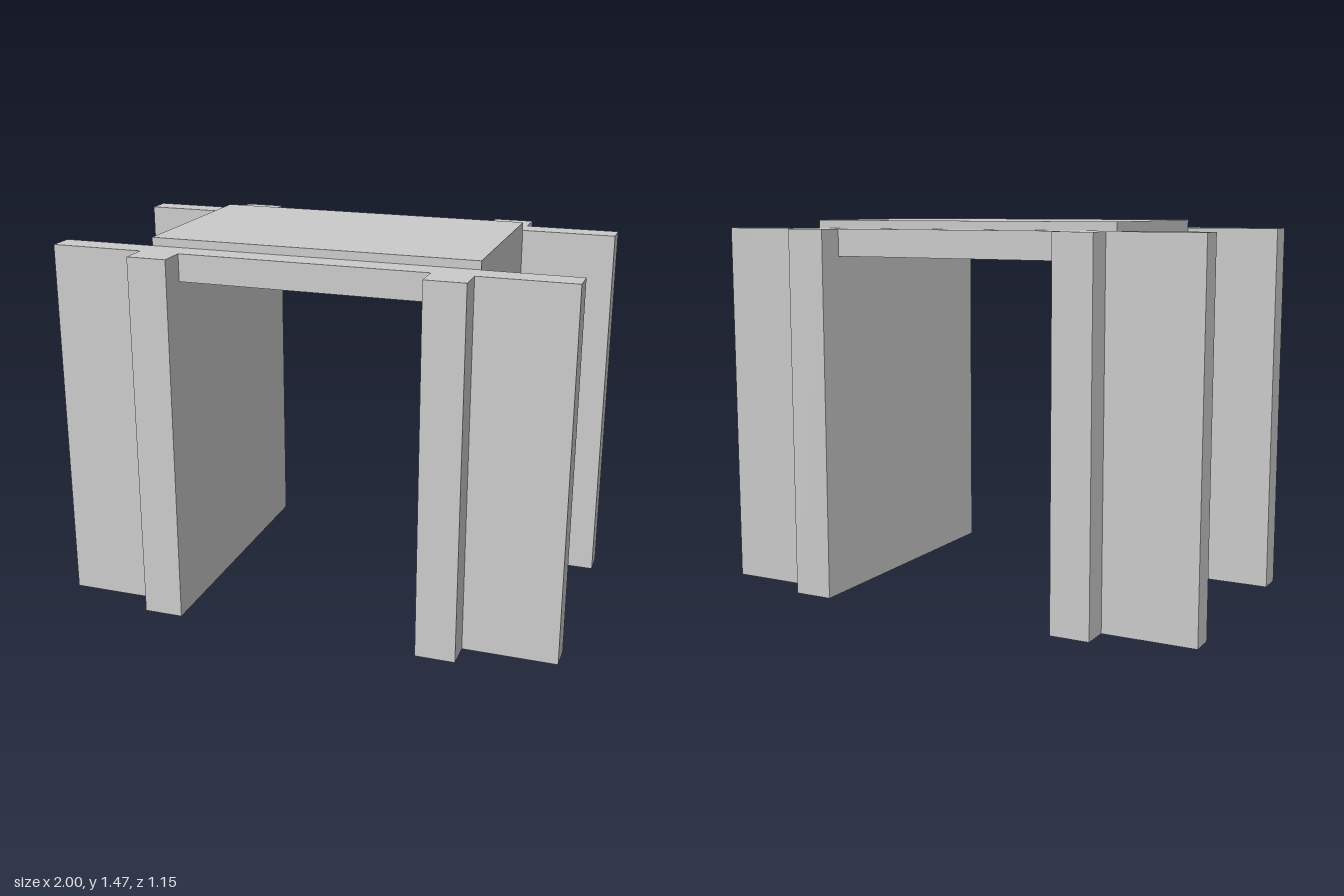
import * as THREE from 'three';

const material = new THREE.MeshStandardMaterial({ color: 0xcccccc, flatShading: true });

// Inverted-U outline (outer half width, inner half width, opening height, top) swept from z0 to z1
function portal(name, outer, inner, opening, top, z0, z1) {
  const shape = new THREE.Shape([
    [-outer, 0], [-inner, 0], [-inner, opening], [inner, opening],
    [inner, 0], [outer, 0], [outer, top], [-outer, top],
  ].map(([x, y]) => new THREE.Vector2(x, y)));
  const geometry = new THREE.ExtrudeGeometry(shape, { depth: z1 - z0, bevelEnabled: false });
  geometry.translate(0, 0, z0);
  const mesh = new THREE.Mesh(geometry, material);
  mesh.name = name;
  return mesh;
}

function box(name, x0, x1, y0, y1, z0, z1) {
  const mesh = new THREE.Mesh(new THREE.BoxGeometry(x1 - x0, y1 - y0, z1 - z0), material);
  mesh.position.set((x0 + x1) / 2, (y0 + y1) / 2, (z0 + z1) / 2);
  mesh.name = name;
  return mesh;
}

export function createModel() {
  const group = new THREE.Group();
  group.name = 'passage';

  const inner = 0.48, wall = 0.635, opening = 1.335, height = 1.44;

  // Side walls and roof slab, standing slightly above the end frames
  group.add(portal('wallsAndRoof', wall, inner, opening, 1.472, -0.374, 0.366));

  // End frames: wing walls joined by a lintel
  group.add(portal('frontFrame', 1, inner, opening, height, 0.366, 0.467));
  group.add(portal('backFrame', 1, inner, opening, height, -0.47, -0.374));

  // Buttresses continuing the side walls past the frames
  for (const [side, x0, x1] of [['left', inner, wall], ['right', -wall, -inner]]) {
    group.add(box(side + 'FrontButtress', x0, x1, 0, height, 0.467, 0.575));
    group.add(box(side + 'BackButtress', x0, x1, 0, height, -0.578, -0.47));
  }
  return group;
}
